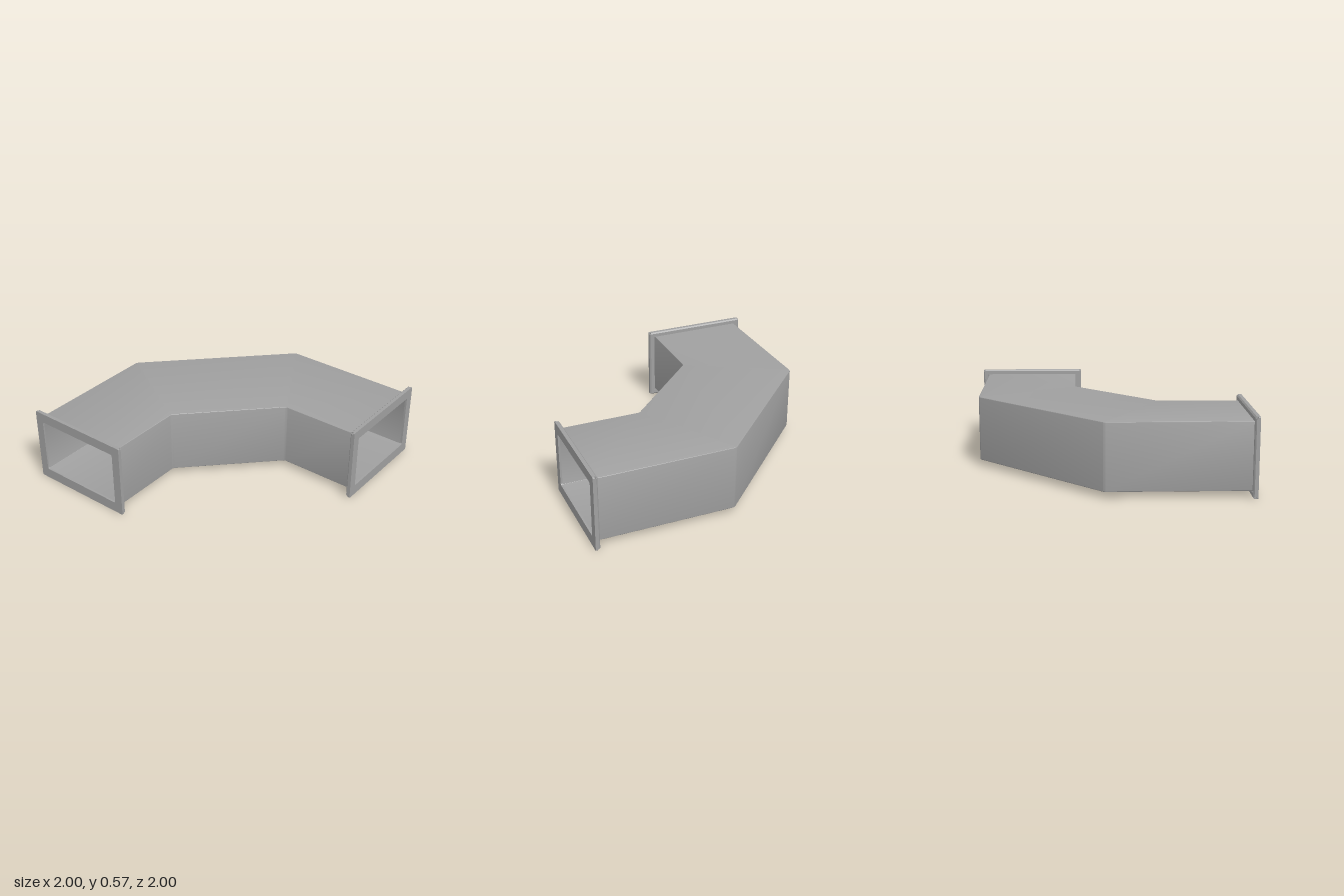
import * as THREE from 'three';
import { toCreasedNormals } from 'three/addons/utils/BufferGeometryUtils.js';

const material = new THREE.MeshStandardMaterial({ color: 0xa0a0a0 });

// Rounded rectangle centred on (cx, cy), as counter-clockwise points
function roundedRect(w, h, r, cx = 0, cy = 0, steps = 3) {
  const points = [];
  [[1, -1], [1, 1], [-1, 1], [-1, -1]].forEach(([sx, sy], corner) => {
    for (let i = 0; i <= steps; i++) {
      const a = (corner - 1 + i / steps) * Math.PI / 2;
      points.push(new THREE.Vector2(
        cx + sx * (w / 2 - r) + r * Math.cos(a),
        cy + sy * (h / 2 - r) + r * Math.sin(a)));
    }
  });
  return points;
}

// Mitre lines through the bend: [outer x, outer z, inner x, inner z]
const OUTER = -0.951, INNER = -0.226;
function bendStations() {
  const end = 0.985;
  const main = [
    [OUTER, end, INNER, end],
    [OUTER, -0.04, INNER, 0.38],
    [-0.04, OUTER, 0.38, INNER],
    [end, OUTER, end, INNER],
  ];
  const lerp = (a, b, d) => a.map((v, i) => {
    const k = i < 2 ? 0 : 2;
    return v + (b[i] - v) * d / Math.hypot(b[k] - a[k], b[k + 1] - a[k + 1]);
  });
  const stations = [main[0]];
  for (const i of [1, 2]) { // slightly eased bends
    stations.push(lerp(main[i], main[i - 1], 0.01), lerp(main[i], main[i + 1], 0.01));
  }
  stations.push(main[3]);
  return stations;
}

// Sweep a section along the stations, smooth round the bends only
function ductSkin(section, inward) {
  const rings = bendStations().map(([ox, oz, ix, iz]) => section.map((p) => {
    const u = (p.x - OUTER) / (INNER - OUTER);
    return [ox + (ix - ox) * u, p.y, oz + (iz - oz) * u];
  }));
  const positions = [];
  for (let s = 0; s + 1 < rings.length; s++) {
    for (let i = 0; i < section.length; i++) {
      const j = (i + 1) % section.length;
      const a = rings[s][i], b = rings[s][j], c = rings[s + 1][j], d = rings[s + 1][i];
      positions.push(...(inward ? [a, b, c, a, c, d] : [a, c, b, a, d, c]).flat());
    }
  }
  const geometry = new THREE.BufferGeometry();
  geometry.setAttribute('position', new THREE.Float32BufferAttribute(positions, 3));
  return toCreasedNormals(geometry, 0.45);
}

function addMesh(parent, geometry, name) {
  const mesh = new THREE.Mesh(geometry, material);
  mesh.name = name;
  parent.add(mesh);
}

// Flange facing +z: a plate with an opening and a folded hem on each edge
function createFlange(name) {
  const W = 0.82, H = 0.566, T = 0.015;
  const flange = new THREE.Group();
  flange.name = name;

  const plate = new THREE.Shape(roundedRect(W, H, 0.008));
  plate.holes.push(new THREE.Path(roundedRect(0.69, 0.415, 0.012, -0.001, 0.003).reverse()));
  addMesh(flange, new THREE.ExtrudeGeometry(plate, { depth: T, bevelEnabled: false }), 'flangePlate');

  // Hem profile: x outward, y backward from the plate's face
  const hem = new THREE.Shape([
    [0, 0.012], [0, 0.026], [-0.01, 0.035], [-0.036, 0.035],
    [-0.036, 0.028], [-0.013, 0.028], [-0.008, 0.023], [-0.008, 0.012],
  ].map(([x, y]) => new THREE.Vector2(x, y)));
  const basis = new THREE.Matrix4().makeBasis(
    new THREE.Vector3(0, 1, 0), new THREE.Vector3(0, 0, -1), new THREE.Vector3(-1, 0, 0));
  for (let k = 0; k < 4; k++) {
    const length = (k % 2 ? H : W) - 0.024;
    const geometry = new THREE.ExtrudeGeometry(hem, { depth: length, bevelEnabled: false });
    geometry.translate(0, 0, -length / 2).applyMatrix4(basis);
    geometry.translate(0, (k % 2 ? W : H) / 2, T).rotateZ(k * Math.PI / 2);
    addMesh(flange, geometry, 'flangeHem');
  }
  return flange;
}

export function createModel() {
  const model = new THREE.Group();
  model.name = 'ductElbow';

  // Duct walls, outside and inside
  const middle = (OUTER + INNER) / 2;
  addMesh(model, ductSkin(roundedRect(INNER - OUTER, 0.484, 0.006, middle, 0.288), false), 'ductOuterWall');
  addMesh(model, ductSkin(roundedRect(0.69, 0.415, 0.003, middle, 0.287), true), 'ductInnerWall');

  // One flange at each open end
  const front = createFlange('frontFlange');
  front.position.set(-0.588, 0.284, 0.982);
  const side = createFlange('leftFlange');
  side.position.set(0.984, 0.284, -0.588);
  side.rotation.y = Math.PI / 2;
  model.add(front, side);
  return model;
}
